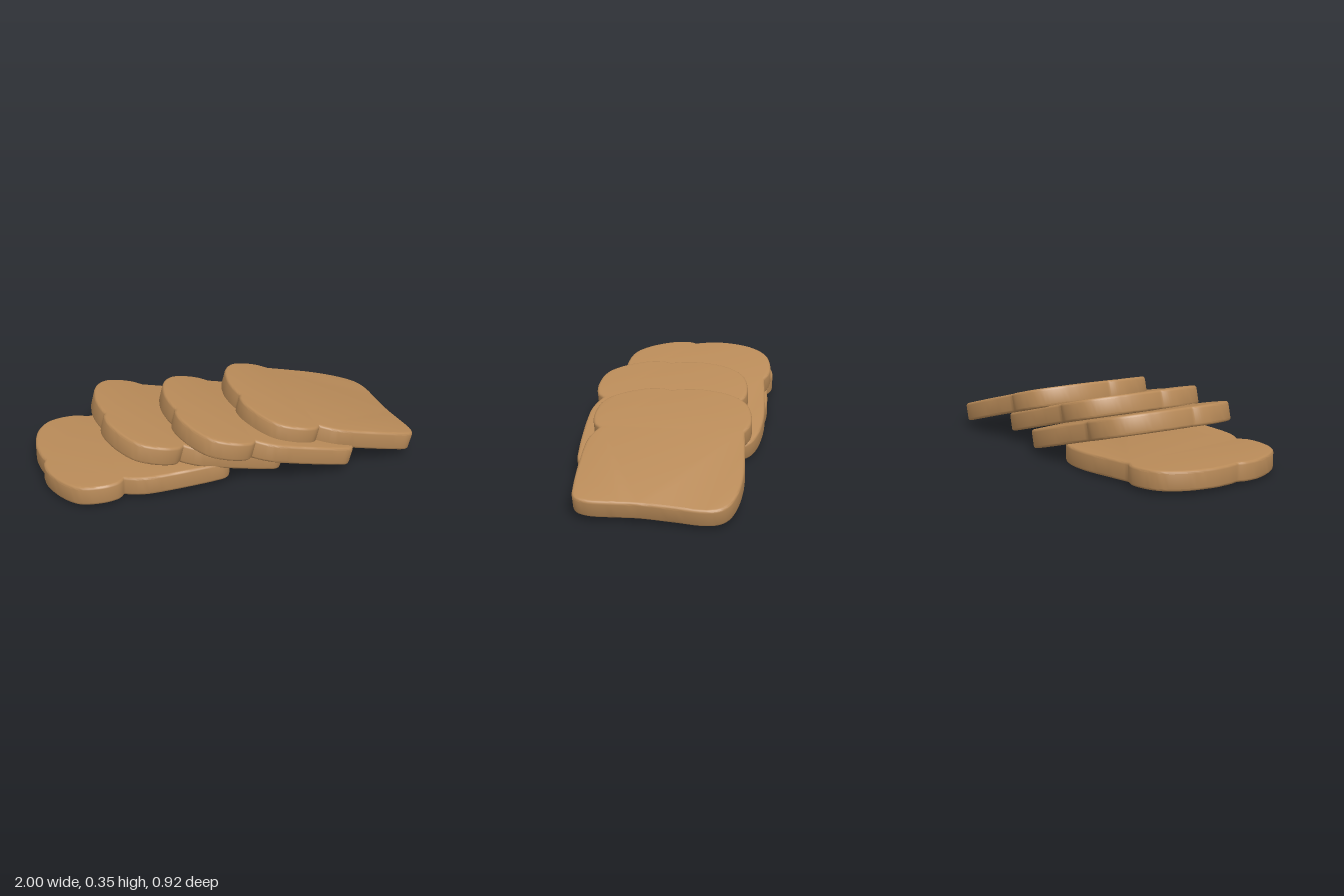
import * as THREE from 'three';
import { toCreasedNormals } from 'three/addons/utils/BufferGeometryUtils.js';

const THICKNESS = 0.102;
const BEVEL = 0.014;

// Crust outline as [x, z] runs that meet at sharp notches
const backLobe = [[-0.458, 0.06], [-0.475, -0.013], [-0.48, -0.12], [-0.453, -0.254], [-0.392, -0.35],
  [-0.31, -0.393], [-0.216, -0.404], [-0.15, -0.382]];
const body = [[-0.15, -0.382], [-0.007, -0.404], [0.17, -0.425], [0.323, -0.415], [0.422, -0.372],
  [0.461, -0.28], [0.463, -0.12], [0.466, 0.04], [0.483, 0.174], [0.494, 0.29], [0.467, 0.36],
  [0.379, 0.382], [0.213, 0.398], [0.048, 0.404], [-0.034, 0.39], [-0.09, 0.366]];
const frontLobe = [[-0.09, 0.366], [-0.128, 0.404], [-0.216, 0.42], [-0.327, 0.398], [-0.404, 0.318],
  [-0.458, 0.2], [-0.47, 0.11], [-0.458, 0.06]];

function sliceGeometry() {
  const shape = new THREE.Shape();
  shape.moveTo(backLobe[0][0], -backLobe[0][1]);
  for (const run of [backLobe, body, frontLobe]) {
    shape.splineThru(run.slice(1).map(([x, z]) => new THREE.Vector2(x, -z)));
  }
  let geo = new THREE.ExtrudeGeometry(shape, {
    depth: THICKNESS - 2 * BEVEL, curveSegments: 4,
    bevelEnabled: true, bevelThickness: BEVEL, bevelSize: BEVEL, bevelOffset: -BEVEL, bevelSegments: 3,
  });
  geo.translate(0, 0, BEVEL - THICKNESS / 2);
  geo.rotateX(-Math.PI / 2);
  geo.scale(0.985, 1, 1);
  // Gentle twist along the slice
  const p = geo.attributes.position;
  for (let i = 0; i < p.count; i++) {
    const x = p.getX(i), z = p.getZ(i);
    p.setY(i, p.getY(i) + z * (0.01 + 0.065 * x));
  }
  geo = toCreasedNormals(geo, 0.7);
  return geo;
}

export function createModel() {
  const group = new THREE.Group();
  group.name = 'breadSlices';
  const bread = new THREE.MeshStandardMaterial({ color: 0xb88a58 });
  bread.name = 'toasted bread';
  const geo = sliceGeometry();

  // One flat slice, then three leaning on each other: [name, x, y, z, tilt]
  const slices = [
    ['bottomSlice', -0.526, 0.074, -0.015, 0],
    ['secondSlice', -0.218, 0.183, -0.04, -14.3],
    ['thirdSlice', 0.145, 0.196, 0.037, -14.3],
    ['topSlice', 0.52, 0.194, -0.04, -14.3],
  ];
  for (const [name, x, y, z, tilt] of slices) {
    const mesh = new THREE.Mesh(geo, bread);
    mesh.name = name;
    mesh.position.set(x, y, z);
    mesh.rotation.z = THREE.MathUtils.degToRad(tilt);
    group.add(mesh);
  }

  // Rest the stack on the ground
  const box = new THREE.Box3().setFromObject(group, true);
  for (const mesh of group.children) mesh.position.y -= box.min.y;
  return group;
}
